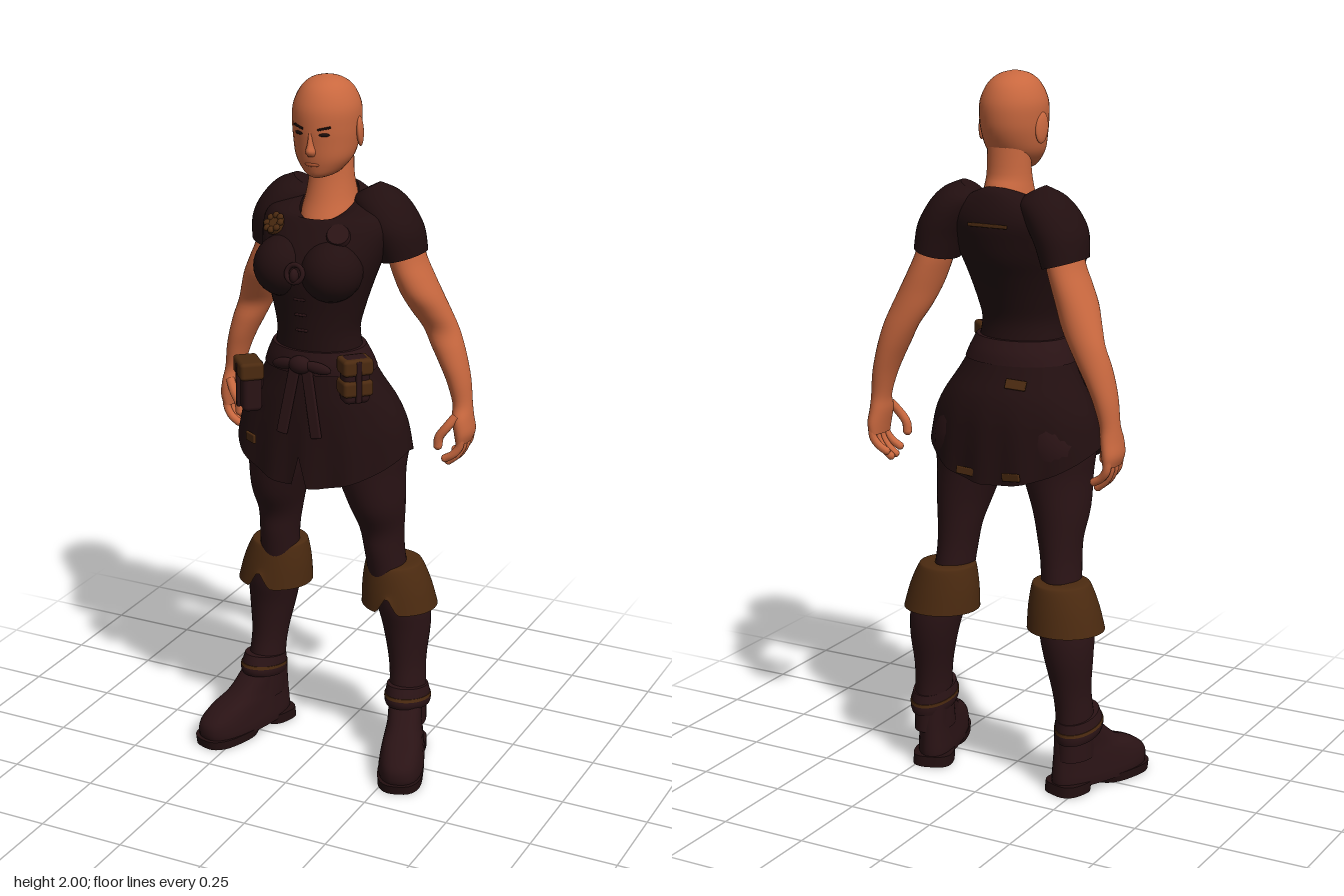
import * as THREE from 'three';
import { RoundedBoxGeometry } from 'three/addons/geometries/RoundedBoxGeometry.js';

const mat = (name, color, side = THREE.FrontSide) => {
  const m = new THREE.MeshStandardMaterial({ color, side });
  m.name = name;
  return m;
};
const skin = mat('skin', 0xc9683f);
const cloth = mat('dark cloth', 0x220f10, THREE.DoubleSide);
const leather = mat('dark leather', 0x2a1315);
const brown = mat('brown leather', 0x4b2a10, THREE.DoubleSide);
const dark = mat('eye and brow', 0x1c0d0a);
const lip = mat('lip', 0xa8522f);

const cubic = (a, b, c, d, t) =>
  b + 0.5 * t * (c - a + t * (2 * a - 5 * b + 4 * c - d + t * (3 * (b - c) + d - a)));

// Smooth loft through horizontal rings [y, centre x, back z, front z, half width, front drop]
function loft(rings, { s = 1, seg = 32, sub = 4, pow = 1, caps = true, tweak } = {}) {
  const list = rings.map(r => [...r, 0].slice(0, 6)).sort((a, b) => a[0] - b[0]);
  const n = list.length, at = i => list[Math.min(n - 1, Math.max(0, i))];
  const pos = [], idx = [], rows = (n - 1) * sub + 1;
  const soft = v => Math.sign(v) * Math.abs(v) ** pow;
  for (let r = 0; r < rows; r++) {
    const i = Math.min(n - 2, Math.floor(r / sub)), t = r / sub - i;
    const [y, cx, zb, zf, rx, drop] = at(i).map((_, k) => cubic(at(i - 1)[k], at(i)[k], at(i + 1)[k], at(i + 2)[k], t));
    for (let j = 0; j < seg; j++) {
      const a = j / seg * Math.PI * 2, c = Math.cos(a), d = Math.sin(a);
      const v = new THREE.Vector3(cx * s + rx * soft(c), y - drop * (1 + d) / 2, (zb + zf) / 2 + (zf - zb) / 2 * soft(d));
      if (tweak) tweak(v, c, d);
      pos.push(v.x, v.y, v.z);
    }
  }
  for (let r = 0; r < rows - 1; r++) for (let j = 0; j < seg; j++) {
    const a = r * seg + j, b = r * seg + (j + 1) % seg;
    idx.push(a, a + seg, b, b, a + seg, b + seg);
  }
  if (caps) for (const row of [0, rows - 1]) {
    const base = pos.length / 3, mid = [0, 0, 0];
    for (let j = 0; j < seg; j++) for (let k = 0; k < 3; k++) {
      const p = pos[(row * seg + j) * 3 + k];
      pos.push(p);
      mid[k] += p / seg;
    }
    pos.push(...mid);
    for (let j = 0; j < seg; j++) {
      const a = base + j, b = base + (j + 1) % seg;
      idx.push(...(row ? [base + seg, b, a] : [base + seg, a, b]));
    }
  }
  const g = new THREE.BufferGeometry();
  g.setAttribute('position', new THREE.Float32BufferAttribute(pos, 3));
  g.setIndex(idx);
  g.computeVertexNormals();
  return g;
}

export function createModel() {
  const model = new THREE.Group();
  const add = (name, geo, m, p = [0, 0, 0], rot = [0, 0, 0], parent = model) => {
    const mesh = new THREE.Mesh(geo, m);
    mesh.name = name;
    mesh.position.set(...p);
    mesh.rotation.set(...rot);
    parent.add(mesh);
    return mesh;
  };
  const blob = (x, y, z) => new THREE.SphereGeometry(1, 24, 16).scale(x, y, z);
  const box = (x, y, z, r = 0.008) => new RoundedBoxGeometry(x, y, z, 2, r);

  // Head and neck
  add('head', loft([[1.733, 0, -0.02, 0.055, 0.02], [1.742, 0, -0.045, 0.066, 0.042], [1.762, 0, -0.07, 0.073, 0.062],
    [1.79, 0, -0.095, 0.079, 0.079], [1.83, 0, -0.115, 0.083, 0.087], [1.87, 0, -0.124, 0.086, 0.091],
    [1.92, 0, -0.122, 0.083, 0.09], [1.965, 0, -0.1, 0.062, 0.07], [1.99, 0, -0.062, 0.03, 0.042], [2, 0, -0.02, -0.01, 0.006]]), skin);
  add('nose', loft([[1.797, 0, 0.05, 0.088, 0.011], [1.81, 0, 0.05, 0.099, 0.015], [1.83, 0, 0.05, 0.094, 0.01],
    [1.868, 0, 0.05, 0.085, 0.007]], { seg: 16 }), skin);
  add('mouth', blob(0.021, 0.006, 0.006), lip, [0, 1.773, 0.073]);
  add('neck', loft([[1.59, 0, -0.11, 0.045, 0.065], [1.68, 0, -0.125, 0.058, 0.074, 0.08], [1.7, 0, -0.12, 0.032, 0.068, 0.04],
    [1.73, 0, -0.107, 0.012, 0.062], [1.82, 0, -0.1, 0, 0.06]]), skin);

  // Shirt with a scooped neckline
  add('shirt', loft([[1.25, 0, -0.075, 0.128, 0.126], [1.315, 0, -0.07, 0.134, 0.117], [1.38, 0, -0.09, 0.143, 0.13],
    [1.45, 0, -0.12, 0.157, 0.15], [1.5, 0, -0.145, 0.16, 0.165], [1.55, 0, -0.16, 0.14, 0.178], [1.6, 0, -0.17, 0.108, 0.185],
    [1.645, 0, -0.165, 0.088, 0.165, 0.02], [1.685, 0, -0.15, 0.08, 0.11, 0.06], [1.7, 0, -0.13, 0.063, 0.076, 0.085]],
    { seg: 48, caps: false }), cloth);
  add('lacing', new THREE.TorusGeometry(0.024, 0.007, 8, 20), leather, [0, 1.5, 0.178], [-0.25, 0, 0]);
  add('lacingKnot', blob(0.012, 0.02, 0.015), leather, [0, 1.495, 0.182]);
  for (const i of [0, 1, 2]) add('shirtTie', box(0.035, 0.007, 0.012, 0.003), leather, [0, 1.33 + i * 0.045, 0.136 + i * 0.006]);
  add('backSeam', box(0.12, 0.01, 0.008, 0.003), brown, [0, 1.6, -0.17]);

  // Chest badges: a brown rosette and a dark roundel
  const rosette = add('rosette', new THREE.CylinderGeometry(0.028, 0.031, 0.014, 12), brown, [-0.105, 1.603, 0.088], [0.8, 0, 0.25]);
  for (let i = 0; i < 8; i++) {
    const a = i * Math.PI / 4;
    add('petal', blob(0.01, 0.008, 0.01), brown, [Math.cos(a) * 0.023, 0.006, Math.sin(a) * 0.023], [0, 0, 0], rosette);
  }
  add('roundel', new THREE.CylinderGeometry(0.03, 0.034, 0.014, 20), leather, [0.088, 1.595, 0.094], [0.8, 0, -0.25]);

  // Skirt: long at front and back, short at the sides, notched in the middle
  const hem = (v, c, d) => {
    const k = THREE.MathUtils.clamp((1.12 - v.y) / 0.14, 0, 1);
    v.y -= k * 0.1 * Math.abs(d) ** 1.5;
    if (d > 0) v.y += k * 0.09 * Math.max(0, 1 - Math.abs(c) / 0.1);
    v.z += k * 0.007 * Math.sin(c * 14) * d;
  };
  add('skirt', loft([[0.98, 0, -0.17, 0.16, 0.262], [1.05, 0, -0.165, 0.152, 0.246], [1.1, 0, -0.155, 0.146, 0.222],
    [1.17, 0, -0.12, 0.138, 0.177], [1.26, 0, -0.08, 0.13, 0.128]], { seg: 64, caps: false, tweak: hem }), cloth);
  add('belt', loft([[1.205, 0, -0.108, 0.142, 0.162], [1.235, 0, -0.1, 0.144, 0.15], [1.27, 0, -0.083, 0.138, 0.133]], { seg: 40 }), leather);
  add('beltKnot', blob(0.033, 0.025, 0.022), leather, [0, 1.235, 0.148]);
  for (const s of [-1, 1]) {
    add('knotLoop', blob(0.04, 0.016, 0.012), leather, [s * 0.05, 1.232, 0.145], [0, s * 0.2, -s * 0.2]);
    add('sashTail', box(0.032, 0.2, 0.012, 0.005), leather, [s * 0.035, 1.13, 0.15], [-0.06, 0, s * 0.18]);
    add('hemPatch', box(0.06, 0.022, 0.008, 0.003), brown, [s * 0.07, 0.91, -0.168], [0, s * 0.15, s * 0.12]);
  }
  add('skirtPatch', box(0.045, 0.026, 0.009, 0.003), brown, [-0.165, 0.99, 0.127], [0, -0.55, 0]);
  add('backBuckle', box(0.06, 0.028, 0.009, 0.003), brown, [-0.06, 1.16, -0.122], [0.45, 0.15, 0]);

  // Belt pouches with brown flaps
  const pouch = (name, p, turn, w, h, flaps) => {
    const g = new THREE.Group();
    g.name = name;
    g.position.set(...p);
    g.rotation.y = turn;
    add('pouchBody', box(w, h, 0.055, 0.014), leather, [0, 0, 0], [0, 0, 0], g);
    flaps.forEach(([y, fh]) => add('pouchFlap', box(w + 0.012, fh, 0.068, 0.01), brown, [0, y, 0.002], [0, 0, 0], g));
    add('pouchStrap', box(0.016, h * 0.9, 0.076, 0.004), leather, [0, 0, 0], [0, 0, 0], g);
    model.add(g);
  };
  pouch('rightPouch', [-0.172, 1.145, 0.118], -0.85, 0.088, 0.14, [[0.048, 0.05]]);
  pouch('leftPouch', [0.152, 1.21, 0.122], 0.8, 0.074, 0.13, [[0.04, 0.046], [-0.02, 0.045]]);

  for (const s of [1, -1]) {
    const side = s > 0 ? 'left' : 'right';
    const part = (name, rings, m, opt = {}) => add(side + name, loft(rings, { s, ...opt }), m);

    // Face details
    add(side + 'Ear', blob(0.009, 0.042, 0.024), skin, [s * 0.091, 1.852, -0.032], [0.15, s * 0.25, 0]);
    add(side + 'Eye', blob(0.015, 0.005, 0.004), dark, [s * 0.037, 1.857, 0.075], [0, s * 0.4, 0]);
    add(side + 'Brow', box(0.036, 0.006, 0.008, 0.002), dark, [s * 0.037, 1.874, 0.076], [0, s * 0.4, s * 0.2]);
    add(side + 'Bust', blob(0.085, 0.085, 0.092), cloth, [s * 0.07, 1.495, 0.096]);

    // Sleeve and arm
    part('Sleeve', [[1.505, 0.198, -0.178, -0.012, 0.059], [1.56, 0.184, -0.178, 0.004, 0.067], [1.6, 0.165, -0.175, 0.01, 0.07],
      [1.64, 0.14, -0.165, 0, 0.068], [1.67, 0.115, -0.145, -0.02, 0.06], [1.69, 0.098, -0.11, -0.05, 0.03]], cloth,
      { tweak: (v, c) => { v.y += 0.016 * c * s; } });
    part('Arm', [[1.56, 0.19, -0.16, -0.035, 0.048], [1.5, 0.203, -0.17, -0.035, 0.05], [1.45, 0.222, -0.176, -0.036, 0.053],
      [1.4, 0.243, -0.18, -0.047, 0.056], [1.35, 0.264, -0.185, -0.075, 0.056], [1.3, 0.288, -0.19, -0.1, 0.051],
      [1.25, 0.31, -0.192, -0.096, 0.046], [1.2, 0.33, -0.19, -0.096, 0.039], [1.15, 0.346, -0.185, -0.102, 0.033],
      [1.09, 0.358, -0.178, -0.108, 0.027], [1.05, 0.362, -0.183, -0.092, 0.028], [1.01, 0.368, -0.19, -0.09, 0.026],
      [0.98, 0.366, -0.188, -0.095, 0.018]], skin);

    // Fingers and thumb
    const digit = (name, pts, r) => {
      const curve = new THREE.CatmullRomCurve3(pts.map(p => new THREE.Vector3(p[0] * s, p[1], p[2])));
      add(side + name, new THREE.TubeGeometry(curve, 10, r, 10), skin);
      add(side + name + 'Tip', new THREE.SphereGeometry(r, 10, 8), skin, curve.getPoint(1).toArray());
    };
    [0.02, 0, 0.002, 0.018].forEach((up, i) => {
      const z = -0.178 + i * 0.024;
      digit('Finger', [[0.37, 1, z], [0.366, 0.965 + up * 0.3, z], [0.35, 0.935 + up * 0.7, z + 0.004], [0.327, 0.915 + up, z + 0.006]], 0.0115);
    });
    digit('Thumb', [[0.355, 1.06, -0.105], [0.335, 1.03, -0.088], [0.315, 1.0, -0.082], [0.312, 0.975, -0.082]], 0.013);

    // Trouser leg
    part('TrouserLeg', [[1.12, 0.09, -0.12, 0.085, 0.09], [1, 0.124, -0.138, 0.1, 0.116], [0.9, 0.137, -0.125, 0.09, 0.098],
      [0.8, 0.154, -0.12, 0.068, 0.078], [0.72, 0.161, -0.118, 0.028, 0.062], [0.65, 0.167, -0.12, 0.018, 0.055],
      [0.56, 0.175, -0.13, 0, 0.055]], leather);

    // Boot: flared cuff, shaft, ankle fold
    part('BootCuff', [[0.475, 0.2, -0.192, 0.02, 0.11], [0.54, 0.192, -0.18, 0.012, 0.1], [0.595, 0.184, -0.166, 0.002, 0.084],
      [0.607, 0.181, -0.155, -0.008, 0.074], [0.609, 0.176, -0.13, -0.03, 0.04]], brown,
      { seg: 64, caps: false, tweak: (v, c, d) => {
        if (d > 0 && v.y < 0.53) v.y += (0.53 - v.y) * Math.max(0, 1 - Math.abs(v.x - s * 0.205) / 0.032);
      } });
    part('BootShaft', [[0.57, 0.19, -0.155, -0.01, 0.066], [0.48, 0.207, -0.177, -0.012, 0.076], [0.4, 0.217, -0.176, -0.027, 0.068],
      [0.3, 0.224, -0.157, -0.032, 0.053], [0.22, 0.23, -0.15, -0.022, 0.051], [0.1, 0.232, -0.155, 0, 0.052]], leather);
    part('AnkleFold', [[0.165, 0.236, -0.158, 0.012, 0.058], [0.185, 0.236, -0.16, 0.016, 0.063], [0.225, 0.233, -0.153, 0, 0.056]],
      leather, { tweak: (v, c, d) => { v.y += d * 0.014; } });
    part('AnkleTrim', [[0.19, 0.236, -0.161, 0.017, 0.0635], [0.199, 0.235, -0.16, 0.014, 0.0625]], brown,
      { sub: 1, tweak: (v, c, d) => { v.y += d * 0.014; } });

    // Foot turned outward, with a separate heel and forefoot sole
    const foot = new THREE.Group();
    foot.name = side + 'Foot';
    foot.position.set(s * 0.222, 0, -0.1);
    foot.rotation.y = s * 0.33;
    model.add(foot);
    const taper = v => { v.x *= THREE.MathUtils.mapLinear(v.z, -0.06, 0.2, 0.85, 1.12); };
    add('bootFoot', loft([[0.018, 0, -0.056, 0.275, 0.06], [0.04, 0, -0.058, 0.281, 0.061], [0.07, 0, -0.056, 0.274, 0.058],
      [0.1, 0, -0.053, 0.235, 0.054], [0.13, 0, -0.05, 0.165, 0.05], [0.18, 0, -0.045, 0.105, 0.05]], { pow: 0.8, tweak: taper }),
      leather, [0, 0, 0], [0, 0, 0], foot);
    add('heel', loft([[0, 0, -0.066, 0.05, 0.058], [0.03, 0, -0.062, 0.055, 0.058]], { pow: 0.7, sub: 1 }), cloth, [0, 0, 0], [0, 0, 0], foot);
    add('sole', loft([[0, 0, 0.09, 0.285, 0.064], [0.026, 0, 0.07, 0.289, 0.066]], { pow: 0.75, sub: 1 }), cloth, [0, 0, 0], [0, 0, 0], foot);
    add('toePatch', blob(0.03, 0.004, 0.018), brown, [0, 0.088, 0.238], [0.55, 0, 0], foot);
  }
  return model;
}
